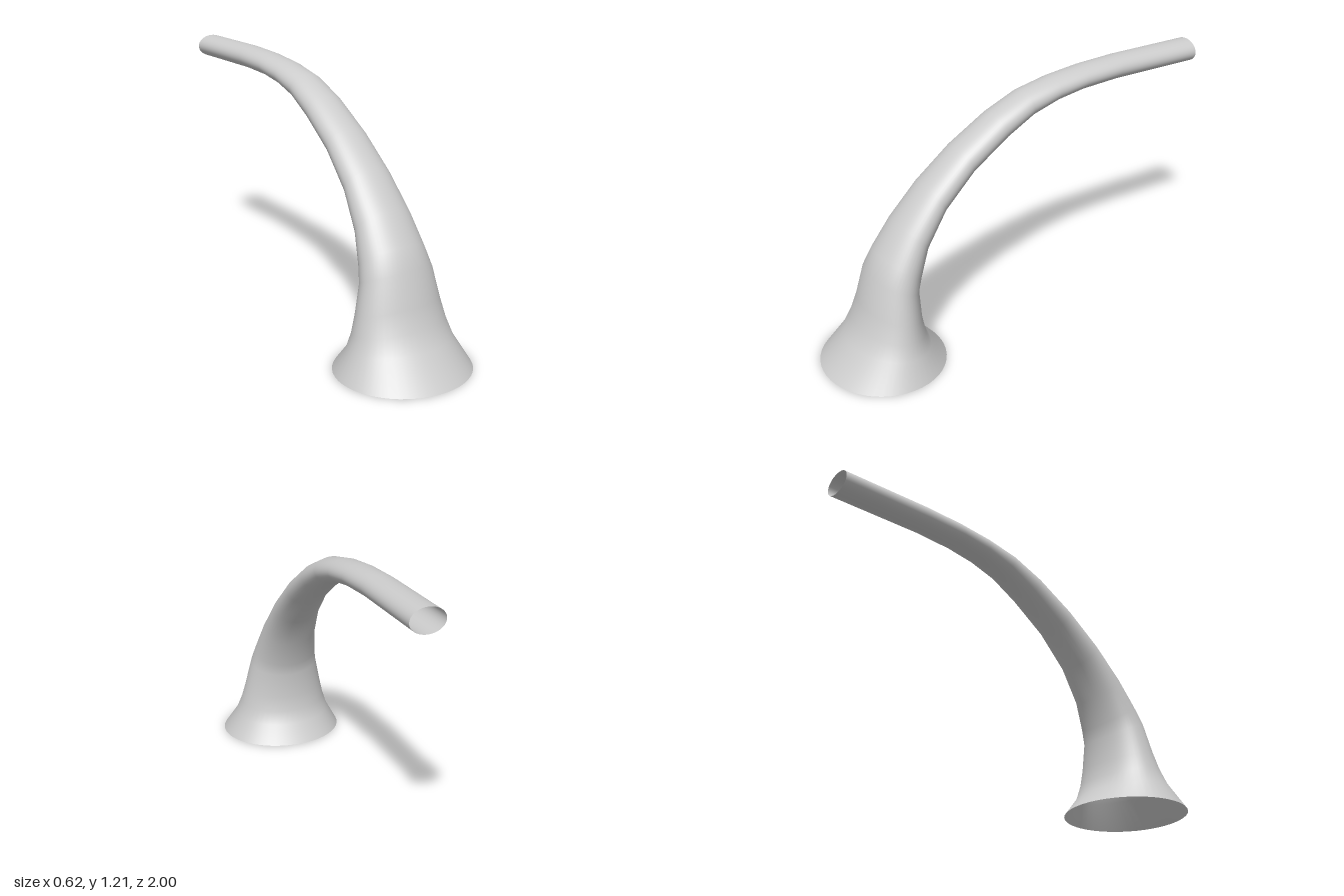
import * as THREE from 'three';

// Cross-sections from flared base to tip:
// [front/top edge z, y,  back/underside edge z, y,  half width]
const SECTIONS = [
  [1.0, 0, 0.43, 0, 0.31],
  [0.88, 0.13, 0.505, 0.085, 0.25],
  [0.835, 0.21, 0.53, 0.15, 0.225],
  [0.80, 0.30, 0.543, 0.225, 0.205],
  [0.76, 0.45, 0.547, 0.35, 0.175],
  [0.71, 0.54, 0.53, 0.41, 0.16],
  [0.615, 0.67, 0.49, 0.54, 0.139],
  [0.475, 0.82, 0.395, 0.69, 0.119],
  [0.305, 0.96, 0.245, 0.835, 0.105],
  [0.12, 1.075, 0.065, 0.955, 0.096],
  [-0.04, 1.145, -0.075, 1.03, 0.088],
  [-0.205, 1.18, -0.205, 1.07, 0.083],
  [-0.38, 1.20, -0.34, 1.092, 0.08],
  [-0.58, 1.21, -0.53, 1.102, 0.077],
  [-1.0, 1.21, -1.0, 1.102, 0.077],
];
const SIDES = 48;

// Skins elliptical rings into one open, smooth tube
function loft(sections, sides) {
  const positions = [];
  const indices = [];
  sections.forEach(([z1, y1, z2, y2, w], r) => {
    for (let i = 0; i < sides; i++) {
      const a = (i / sides) * Math.PI * 2;
      const t = (1 + Math.cos(a)) / 2;
      positions.push(w * Math.sin(a), y2 + (y1 - y2) * t, z2 + (z1 - z2) * t);
      if (r === sections.length - 1) continue;
      const p = r * sides + i;
      const q = r * sides + ((i + 1) % sides);
      indices.push(p, q, q + sides, p, q + sides, p + sides);
    }
  });
  const geometry = new THREE.BufferGeometry();
  geometry.setAttribute('position', new THREE.Float32BufferAttribute(positions, 3));
  geometry.setIndex(indices);
  geometry.computeVertexNormals();
  return geometry;
}

export function createModel() {
  const group = new THREE.Group();
  group.name = 'curvedHorn';
  // Hollow tube, open at both ends
  const material = new THREE.MeshStandardMaterial({ color: 0xcccccc, side: THREE.DoubleSide });
  const tube = new THREE.Mesh(loft(SECTIONS, SIDES), material);
  tube.name = 'flaredTube';
  group.add(tube);
  return group;
}
